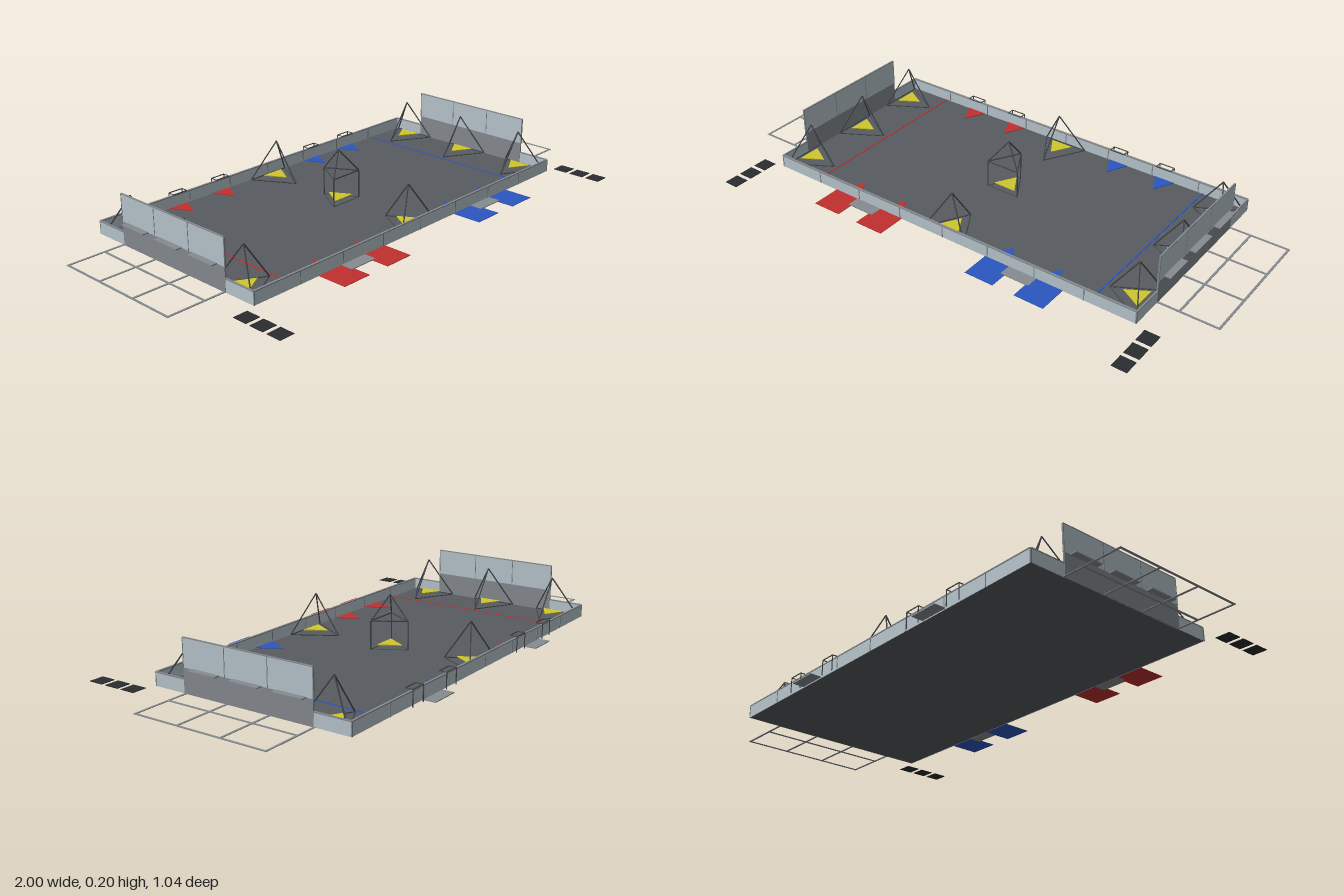
import * as THREE from 'three';

const mat = (color) => new THREE.MeshStandardMaterial({ color, flatShading: true, side: THREE.DoubleSide });
const M = {
  floor: mat(0x585b5f), rod: mat(0x45484c), clear: mat(0xb9c6ce), plate: mat(0x868b90),
  red: mat(0xc03030), blue: mat(0x2b55c0), yellow: mat(0xd0c62c), black: mat(0x2a2c2f),
};
const ZC = -0.085; // middle of the field
const Z0 = -0.472, Z1 = 0.303, X1 = 0.774;
const V = (x, y, z) => new THREE.Vector3(x, y, z);

function box(parent, name, m, x0, x1, y0, y1, z0, z1) {
  const mesh = new THREE.Mesh(new THREE.BoxGeometry(Math.abs(x1 - x0), y1 - y0, z1 - z0), m);
  mesh.position.set((x0 + x1) / 2, (y0 + y1) / 2, (z0 + z1) / 2);
  mesh.name = name;
  parent.add(mesh);
}

// round bar between two points
function rod(parent, name, a, b, r = 0.0025) {
  const d = b.clone().sub(a);
  const mesh = new THREE.Mesh(new THREE.CylinderGeometry(r, r, d.length(), 6), M.rod);
  mesh.position.copy(a).add(b).multiplyScalar(0.5);
  mesh.quaternion.setFromUnitVectors(V(0, 1, 0), d.normalize());
  mesh.name = name;
  parent.add(mesh);
}

// flat triangle lying level, tip toward +z, centred on its middle
function triangle(parent, name, m, half, back, tip, y, thick) {
  const s = new THREE.Shape([new THREE.Vector2(-half, back), new THREE.Vector2(half, back), new THREE.Vector2(0, -tip)]);
  const g = new THREE.ExtrudeGeometry(s, { depth: thick, bevelEnabled: false });
  g.rotateX(-Math.PI / 2);
  const mesh = new THREE.Mesh(g, m);
  mesh.position.y = y;
  mesh.name = name;
  parent.add(mesh);
  return mesh;
}

// corners of a level equilateral triangle, tip toward +z
const corners = (half, y) => {
  const back = half / Math.sqrt(3);
  return [V(-half, y, -back), V(half, y, -back), V(0, y, 2 * back)];
};

function goal(x, z, angle) {
  const g = new THREE.Group();
  g.name = 'pyramidGoal';
  const c = corners(0.089, 0.006);
  c.forEach((p, i) => {
    rod(g, 'goalLeg', p, V(0, 0.153, 0));
    rod(g, 'goalBaseBar', p, c[(i + 1) % 3], 0.002);
  });
  triangle(g, 'goalPlate', M.yellow, 0.045, 0.026, 0.052, 0.016, 0.003);
  g.position.set(x, 0, z);
  g.rotation.y = angle;
  return g;
}

function centreTower() {
  const g = new THREE.Group();
  g.name = 'centreTower';
  const top = corners(0.066, 0.11), low = corners(0.066, 0.004);
  top.forEach((p, i) => {
    rod(g, 'towerPost', low[i], p);
    rod(g, 'towerRing', p, top[(i + 1) % 3]);
    rod(g, 'towerBaseBar', low[i], low[(i + 1) % 3], 0.002);
    rod(g, 'towerRoofBar', p, V(0, 0.198, 0));
  });
  triangle(g, 'towerPlate', M.yellow, 0.045, 0.026, 0.052, 0.016, 0.003);
  g.position.set(0, 0, ZC);
  g.rotation.y = Math.PI;
  return g;
}

// long low walls with posts and a top rail
function addLongWalls(root) {
  for (const z of [Z0, Z1]) {
    box(root, 'longWall', M.clear, -X1, X1, 0, 0.048, z - 0.002, z + 0.002);
    box(root, 'wallRail', M.plate, -X1, X1, 0.046, 0.05, z - 0.004, z + 0.004);
    for (let i = 0; i <= 8; i++) {
      const x = -X1 + (i * 2 * X1) / 8;
      box(root, 'wallPost', M.plate, x - 0.002, x + 0.002, 0, 0.048, z - 0.003, z + 0.003);
    }
  }
}

// end wall, player station, shelves, floor grid and pads for one side
function addEnd(root, s) {
  const X = s * X1;
  for (const [a, b] of [[Z0, -0.337], [0.178, Z1]]) {
    box(root, 'endWall', M.clear, X - 0.002, X + 0.002, 0, 0.048, a, b);
    box(root, 'endRail', M.plate, X - 0.003, X + 0.003, 0.046, 0.05, a, b);
  }
  box(root, 'stationLowerPanel', M.plate, X - 0.003, X + 0.003, 0, 0.087, -0.337, 0.178);
  box(root, 'stationWindow', M.clear, X - 0.002, X + 0.002, 0.087, 0.187, -0.337, 0.178);
  for (const z of [-0.337, -0.165, 0.006, 0.178])
    box(root, 'windowPost', M.plate, X - 0.003, X + 0.003, 0.087, 0.187, z - 0.0015, z + 0.0015);
  box(root, 'windowRail', M.plate, X - 0.003, X + 0.003, 0.185, 0.188, -0.337, 0.178);
  for (const z of [-0.255, ZC, 0.085])
    box(root, 'stationShelf', M.plate, X, s * 0.8, 0.085, 0.089, z - 0.057, z + 0.057);
  for (const z of [-0.34, -0.17, 0, 0.172])
    box(root, 'floorTape', M.plate, X, s, 0, 0.002, z - 0.004, z + 0.004);
  for (const x of [0.855, 0.996])
    box(root, 'floorTape', M.plate, s * (x - 0.004), s * (x + 0.004), 0, 0.002, -0.344, 0.176);
  for (const z of [0.343, 0.415, 0.487])
    box(root, 'floorPad', M.black, s * 0.812, s * 0.868, 0, 0.002, z - 0.028, z + 0.028);
}

// loading areas and racks in one colour
function addLoading(root, s, m) {
  box(root, 'startLine', m, s * 0.597, s * 0.602, 0.004, 0.0055, Z0, Z1);
  for (const [x, px] of [[0.24, 0.243], [0.44, 0.443]]) {
    box(root, 'loadingPad', m, s * (px - 0.057), s * (px + 0.057), 0, 0.002, Z1 + 0.002, 0.418);
    const f = triangle(root, 'frontLoadingMark', m, 0.05, 0, 0.085, 0.004, 0.002);
    f.rotation.y = Math.PI;
    f.position.set(s * x, 0.004, Z1 - 0.003);
    const b = triangle(root, 'backLoadingMark', m, 0.04, 0, 0.08, 0.004, 0.002);
    b.position.set(s * x, 0.004, Z0 + 0.003);
    // bent pipe rack hooked over the back wall
    const zi = -0.456, zo = -0.484;
    for (const dx of [-0.03, 0.03]) {
      rod(root, 'rackPost', V(s * x + dx, 0, zo), V(s * x + dx, 0.058, zo), 0.002);
      rod(root, 'rackArm', V(s * x + dx, 0.058, zo), V(s * x + dx, 0.058, zi), 0.002);
    }
    for (const z of [zi, zo]) rod(root, 'rackBar', V(s * x - 0.03, 0.058, z), V(s * x + 0.03, 0.058, z), 0.002);
  }
  box(root, 'frontMat', M.plate, s * 0.285, s * 0.397, 0, 0.003, Z1, 0.352);
  box(root, 'backMat', M.plate, s * 0.285, s * 0.397, 0, 0.003, -0.522, -0.478);
}

export function createModel() {
  const root = new THREE.Group();
  root.name = 'playingField';
  box(root, 'fieldFloor', M.floor, -X1, X1, 0, 0.004, Z0, Z1);
  addLongWalls(root);
  for (const s of [-1, 1]) {
    addEnd(root, s);
    addLoading(root, s, s < 0 ? M.red : M.blue);
    for (const z of [-0.37, ZC, 0.2]) root.add(goal(s * 0.717, z, (-s * Math.PI) / 2));
  }
  root.add(goal(0, -0.415, 0), goal(0, 0.247, Math.PI), centreTower());
  return root;
}
